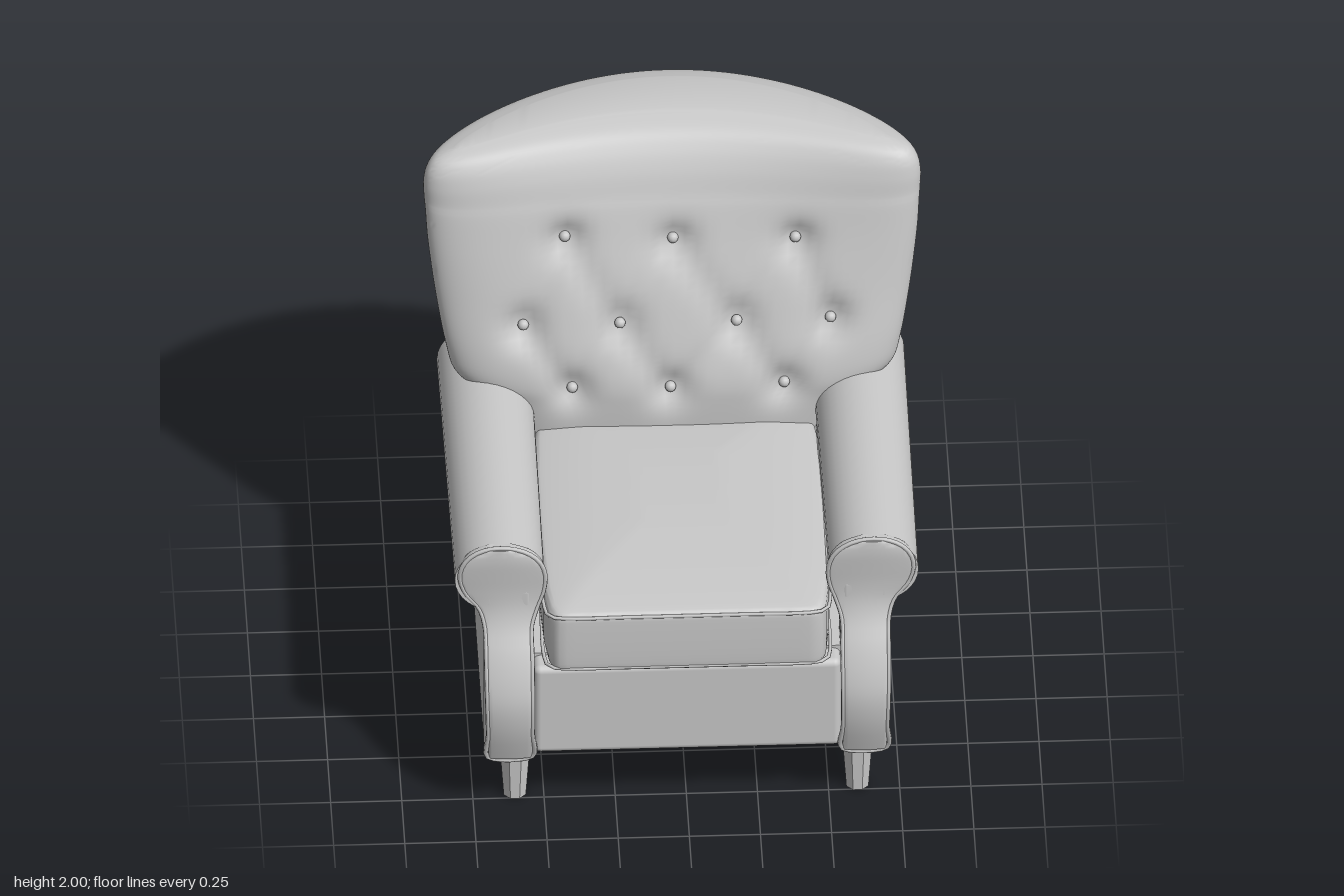
import * as THREE from 'three';
import { toCreasedNormals } from 'three/addons/utils/BufferGeometryUtils.js';
import { RoundedBoxGeometry } from 'three/addons/geometries/RoundedBoxGeometry.js';

const upholstery = new THREE.MeshStandardMaterial({ color: 0xc8c8c8 });
upholstery.name = 'grey upholstery';

function part(parent, name, geometry, x = 0, y = 0, z = 0) {
  const mesh = new THREE.Mesh(geometry, upholstery);
  mesh.name = name;
  mesh.position.set(x, y, z);
  parent.add(mesh);
  return mesh;
}

// Smooth interpolation through a list of rows
function resample(rows, sub) {
  const out = [];
  const at = i => rows[Math.min(Math.max(i, 0), rows.length - 1)];
  for (let i = 0; i < rows.length - 1; i++)
    for (let s = 0; s < sub; s++) {
      const t = s / sub;
      out.push(rows[i].map((p1, k) => {
        const p0 = at(i - 1)[k], p2 = at(i + 1)[k], p3 = at(i + 2)[k];
        return p1 + 0.5 * t * (p2 - p0 + t * (2 * p0 - 5 * p1 + 4 * p2 - p3 + t * (3 * (p1 - p2) + p3 - p0)));
      }));
    }
  out.push(rows[rows.length - 1]);
  return out;
}

// Stacked cross-sections; row = [y, halfWidth, front z mid, front z side, back z mid, back z side, x centre]
function loft(rows, { n = 24, sub = 4, power = 8, bend = 2, warp = null, crease = 0.8 } = {}) {
  const pos = [], idx = [], list = resample(rows, sub);
  const id = (r, side, i) => (r * 2 + side) * (n + 1) + i;
  for (const [y, w, fm, fs, bm, bs, xc = 0] of list)
    for (const side of [0, 1])
      for (let i = 0; i <= n; i++) {
        const u = Math.sin((i / n - 0.5) * Math.PI), e = Math.abs(u) ** bend;
        const f = fm + (fs - fm) * e, b = bm + (bs - bm) * e;
        const h = Math.sqrt(Math.max(0, 1 - Math.abs(u) ** power));
        const p = new THREE.Vector3(xc + w * u, y, (f + b) / 2 + (side ? -h : h) * (f - b) / 2);
        if (warp) warp(p, u, side === 0);
        pos.push(p.x, p.y, p.z);
      }
  const quad = (a, b, c, d) => idx.push(a, b, c, a, c, d);
  const last = list.length - 1;
  for (let i = 0; i < n; i++) {
    for (let r = 0; r < last; r++) {
      quad(id(r, 0, i), id(r, 0, i + 1), id(r + 1, 0, i + 1), id(r + 1, 0, i));
      quad(id(r, 1, i + 1), id(r, 1, i), id(r + 1, 1, i), id(r + 1, 1, i + 1));
    }
    quad(id(last, 0, i), id(last, 0, i + 1), id(last, 1, i + 1), id(last, 1, i));
    quad(id(0, 1, i), id(0, 1, i + 1), id(0, 0, i + 1), id(0, 0, i));
  }
  const g = new THREE.BufferGeometry();
  g.setAttribute('position', new THREE.Float32BufferAttribute(pos, 3));
  g.setIndex(idx);
  return toCreasedNormals(g, crease);
}

function piping(points, closed, radius) {
  const curve = new THREE.CatmullRomCurve3(points, closed);
  return new THREE.TubeGeometry(curve, 80, radius, 6, closed);
}

// Tufting layout: button points and the pleats that join them
const buttons = [[-0.38, 1.62], [0, 1.6], [0.43, 1.6], [-0.53, 1.31], [-0.19, 1.31], [0.22, 1.31],
  [0.55, 1.31], [-0.36, 1.07], [-0.015, 1.07], [0.385, 1.07]];
const pleats = [[0, 3], [0, 4], [1, 4], [1, 5], [2, 5], [2, 6], [3, 7], [4, 7], [4, 8], [5, 8], [5, 9], [6, 9]];

function tuftDepth(x, y) {
  let d = 0;
  for (const [bx, by] of buttons) d += 0.04 * Math.exp(-((x - bx) ** 2 + (y - by) ** 2) / 0.005);
  let nearest = 1;
  for (const [i, j] of pleats) {
    const [ax, ay] = buttons[i], dx = buttons[j][0] - ax, dy = buttons[j][1] - ay;
    const t = Math.min(1, Math.max(0, ((x - ax) * dx + (y - ay) * dy) / (dx * dx + dy * dy)));
    nearest = Math.min(nearest, Math.hypot(x - ax - t * dx, y - ay - t * dy));
  }
  return d + 0.014 * Math.exp(-((nearest / 0.045) ** 2));
}

function buildBack(root) {
  const back = new THREE.Group();
  back.name = 'back';
  root.add(back);

  // Tufted cushion, curved around the sitter and rolled over the top
  const cushion = loft([
    [0.85, 0.60, -0.17, -0.20, -0.55, -0.50],
    [1.00, 0.66, -0.165, -0.20, -0.58, -0.48],
    [1.09, 0.765, -0.17, -0.20, -0.62, -0.44],
    [1.20, 0.80, -0.20, -0.21, -0.66, -0.44],
    [1.40, 0.835, -0.26, -0.255, -0.70, -0.47],
    [1.60, 0.86, -0.33, -0.285, -0.74, -0.51],
    [1.72, 0.868, -0.37, -0.30, -0.80, -0.53],
    [1.77, 0.872, -0.39, -0.305, -0.90, -0.55],
    [1.85, 0.874, -0.42, -0.31, -0.918, -0.56],
    [1.92, 0.862, -0.46, -0.325, -0.90, -0.55],
    [1.97, 0.83, -0.51, -0.36, -0.86, -0.53],
    [2.00, 0.76, -0.60, -0.43, -0.78, -0.50]
  ], {
    n: 64, sub: 6, power: 9, crease: 1.2,
    warp: (p, u, front) => {
      if (front && Math.abs(u) < 1) p.z -= tuftDepth(p.x, p.y);
      if (p.y > 1.75) p.y -= 0.05 * u * u * (p.y - 1.75) / 0.25;
    }
  });
  part(back, 'backCushion', cushion);

  // Buttons seated on the cushion surface
  const v = new THREE.Vector3(), attr = cushion.attributes.position;
  for (const [x, y] of buttons) {
    let best = 1, z = 0;
    for (let i = 0; i < attr.count; i++) {
      v.fromBufferAttribute(attr, i);
      const d = Math.hypot(v.x - x, v.y - y);
      if (v.z > -0.52 && d < best) { best = d; z = v.z; }
    }
    part(back, 'button', new THREE.SphereGeometry(0.02, 12, 8), x, y, z + 0.012);
  }

  // Curved outer shell: wide above the arms, narrow below
  part(back, 'upperShell', loft([
    [1.10, 0.755, -0.36, -0.36, -0.785, -0.42],
    [1.40, 0.805, -0.40, -0.40, -0.845, -0.46],
    [1.79, 0.855, -0.48, -0.46, -0.885, -0.52]
  ], { power: 40, n: 32, bend: 2.6 }));
  part(back, 'lowerShell', loft([
    [0.27, 0.695, -0.50, -0.50, -0.65, -0.575],
    [0.60, 0.705, -0.50, -0.50, -0.675, -0.575],
    [0.90, 0.715, -0.46, -0.46, -0.74, -0.56],
    [1.10, 0.73, -0.42, -0.42, -0.785, -0.49]
  ], { power: 40, n: 32, bend: 2.4 }));
}

// Arm front scroll: [y, inner x, outer x, front z, back z]
const scroll = [[0.25, 0.54, 0.705, 0.855, 0.6], [0.38, 0.54, 0.707, 0.895, 0.6], [0.5, 0.54, 0.71, 0.91, 0.6],
  [0.6, 0.54, 0.712, 0.895, 0.6], [0.7, 0.54, 0.713, 0.86, 0.6], [0.79, 0.54, 0.715, 0.815, 0.65],
  [0.86, 0.52, 0.735, 0.795, 0.745], [0.93, 0.497, 0.785, 0.792, 0.755], [1.0, 0.492, 0.803, 0.797, 0.755],
  [1.06, 0.51, 0.79, 0.802, 0.755], [1.1, 0.55, 0.755, 0.802, 0.755], [1.122, 0.61, 0.70, 0.80, 0.755]];

function buildArm(root, s) {
  const arm = new THREE.Group();
  arm.name = s > 0 ? 'leftArm' : 'rightArm';
  root.add(arm);
  part(arm, 'armFront', loft(scroll.map(([y, a, b, z, zb]) =>
    [y, (b - a) / 2, z, z - 0.01, zb, zb, s * (a + b) / 2]), { power: 40, sub: 3 }));
  const edge = k => scroll.map(r => new THREE.Vector3(s * (r[k] + (k === 1 ? 0.006 : -0.006)), r[0], r[3] - 0.014));
  part(arm, 'armPiping', piping([...edge(1), ...edge(2).reverse()], true, 0.009));

  // Padded roll, dropping slightly toward the back
  const roll = new THREE.CylinderGeometry(0.158, 0.165, 1.34, 32, 1);
  roll.rotateX(Math.PI / 2);
  roll.scale(1, 0.875, 1);
  part(arm, 'armRoll', roll, s * 0.657, 0.967, 0.11).rotation.x = -0.028;
  const cap = new THREE.SphereGeometry(0.158, 24, 12);
  cap.scale(1, 0.875, 0.15);
  part(arm, 'armRollEnd', cap, s * 0.657, 0.948, -0.555);
  part(arm, 'armSide', new RoundedBoxGeometry(0.17, 0.7, 1.36, 3, 0.02), s * 0.628, 0.595, 0.11);
}

function buildLegs(root) {
  for (const s of [-1, 1])
    for (const [name, zTop, zBottom] of [['frontLeg', 0.712, 0.715], ['rearLeg', -0.43, -0.485]]) {
      const leg = new THREE.CylinderGeometry(0.062, 0.042, 0.27, 8, 4);
      leg.rotateY(Math.PI / 8);
      const p = leg.attributes.position;
      // Splay grows toward the foot
      for (let i = 0; i < p.count; i++) {
        const t = Math.max(0, 0.5 - p.getY(i) / 0.27);
        p.setZ(i, p.getZ(i) + (zBottom - zTop) * t ** 1.3);
      }
      part(root, name, toCreasedNormals(leg, 0.5), s * 0.602, 0.135, zTop);
    }
}

export function createModel() {
  const root = new THREE.Group();
  root.name = 'armchair';
  buildBack(root);
  buildArm(root, 1);
  buildArm(root, -1);
  buildLegs(root);

  // Base frame and front rail
  part(root, 'seatBase', new THREE.BoxGeometry(1.12, 0.35, 1.3), 0, 0.475, 0.12);
  part(root, 'frontRail', new RoundedBoxGeometry(1.08, 0.375, 0.16, 3, 0.025), 0, 0.452, 0.77);

  // Crowned seat cushion with piped edges
  part(root, 'seatCushion', loft([
    [0.635, 0.47, 0.85, 0.85, -0.3, -0.3],
    [0.655, 0.50, 0.885, 0.885, -0.3, -0.3],
    [0.69, 0.51, 0.895, 0.895, -0.3, -0.3],
    [0.85, 0.51, 0.895, 0.895, -0.3, -0.3],
    [0.89, 0.502, 0.888, 0.888, -0.3, -0.3],
    [0.905, 0.47, 0.85, 0.85, -0.3, -0.3],
    [0.925, 0.34, 0.65, 0.65, -0.2, -0.2],
    [0.938, 0.15, 0.40, 0.40, 0, 0]
  ], { power: 40, n: 32 }));
  for (const y of [0.667, 0.887]) {
    const corner = [[0.502, -0.2], [0.502, 0.5], [0.502, 0.82], [0.487, 0.872], [0.44, 0.888], [0.2, 0.89]];
    const half = s => corner.map(([x, z]) => new THREE.Vector3(s * x, y, z));
    part(root, 'seatPiping', piping([...half(-1), ...half(1).reverse()], false, 0.007));
  }
  return root;
}
